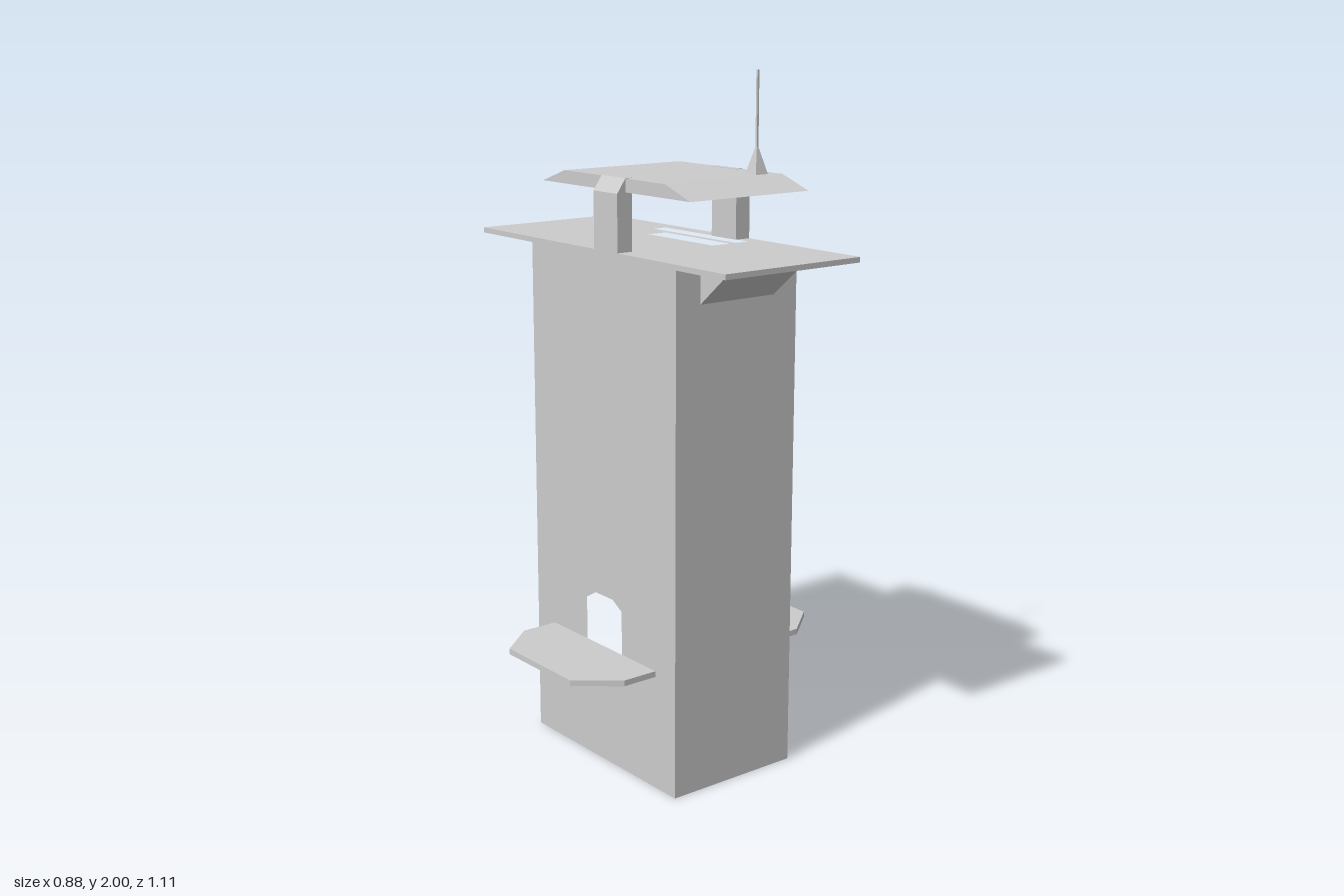
import * as THREE from 'three';

const material = new THREE.MeshStandardMaterial({ color: 0xcccccc, flatShading: true });

const outline = (pts, Type = THREE.Shape) => new Type(pts.map(([a, b]) => new THREE.Vector2(a, b)));

// Rectangle corners, counter-clockwise
const rect = (x0, y0, x1, y1) => [[x0, y0], [x1, y0], [x1, y1], [x0, y1]];

function extrude(pts, depth, holes = []) {
  const shape = outline(pts);
  shape.holes = holes.map((h) => outline(h, THREE.Path));
  return new THREE.ExtrudeGeometry(shape, { depth, bevelEnabled: false });
}

// Profile of (z, y) points swept along x from x0 to x1
function sweepX(pts, x0, x1, holes = []) {
  const flip = (list) => list.map(([z, y]) => [-z, y]);
  return extrude(flip(pts), x1 - x0, holes.map(flip)).rotateY(Math.PI / 2).translate(x0, 0, 0);
}

// Plan of (x, z) points raised along y from y0 to y1
function raiseY(pts, y0, y1, holes = []) {
  const flip = (list) => list.map(([x, z]) => [x, -z]);
  return extrude(flip(pts), y1 - y0, holes.map(flip)).rotateX(-Math.PI / 2).translate(0, y0, 0);
}

export function createModel() {
  const group = new THREE.Group();
  const add = (name, geometry) => {
    const mesh = new THREE.Mesh(geometry, material);
    mesh.name = name;
    group.add(mesh);
    return mesh;
  };

  const bodyX = 0.213, bodyZ = 0.333, deckY = 1.505, pitY = 1.3;
  const hatch = rect(0.06, -0.22, 0.19, 0.155);

  // Tower shaft with an arched passage running from side to side
  const arch = [[-0.08, 0.355], [0.088, 0.355], [0.088, 0.485], [0.045, 0.51], [-0.037, 0.51], [-0.08, 0.485]];
  add('towerShaft', sweepX(rect(-bodyZ, 0, bodyZ, pitY), -bodyX, bodyX, [arch]));

  // Upper shaft and deck, both opened by the hatch
  add('upperShaft', raiseY(rect(-bodyX, -bodyZ, bodyX, bodyZ), pitY, deckY, [hatch]));
  add('deck', raiseY(rect(-0.235, -0.557, 0.235, 0.557), deckY, 1.52, [hatch]));

  for (const side of [1, -1]) {
    // Side balconies in front of the passage
    const balcony = [[bodyX, -0.247], [0.325, -0.247], [0.44, -0.152], [0.44, 0.15], [0.323, 0.245], [bodyX, 0.245]];
    add(side > 0 ? 'leftBalcony' : 'rightBalcony',
      raiseY(balcony.map(([x, z]) => [side * x, z]), 0.338, 0.355));

    // Roof posts with a chamfered outer top
    const post = [[0.185, 1.52], [0.235, 1.52], [0.235, 1.68], [0.207, 1.72], [0.185, 1.72]];
    add(side > 0 ? 'leftPost' : 'rightPost',
      extrude(post.map(([x, y]) => [side * x, y]), 0.107).translate(0, 0, 0.001));

    // Wedge brackets below the deck at front and back
    const bracket = [[bodyZ, 1.4], [0.428, 1.48], [0.428, deckY], [bodyZ, deckY]];
    add(side > 0 ? 'frontBracket' : 'backBracket',
      sweepX(bracket.map(([z, y]) => [side * z, y]), -0.13, 0.13));
  }

  // Canopy with sloping front and back ends
  add('canopy', sweepX([[-0.28, 1.682], [0.383, 1.682], [0.278, 1.719], [-0.174, 1.719]], -0.207, 0.205));

  // Antenna: square pyramid foot and thin mast
  const foot = new THREE.ConeGeometry(0.022 * Math.SQRT2, 0.085, 4).rotateY(Math.PI / 4);
  add('antennaFoot', foot).position.set(0.148, 1.7615, 0.235);
  add('antennaMast', new THREE.BoxGeometry(0.006, 0.22, 0.006)).position.set(0.148, 1.89, 0.235);

  return group;
}
